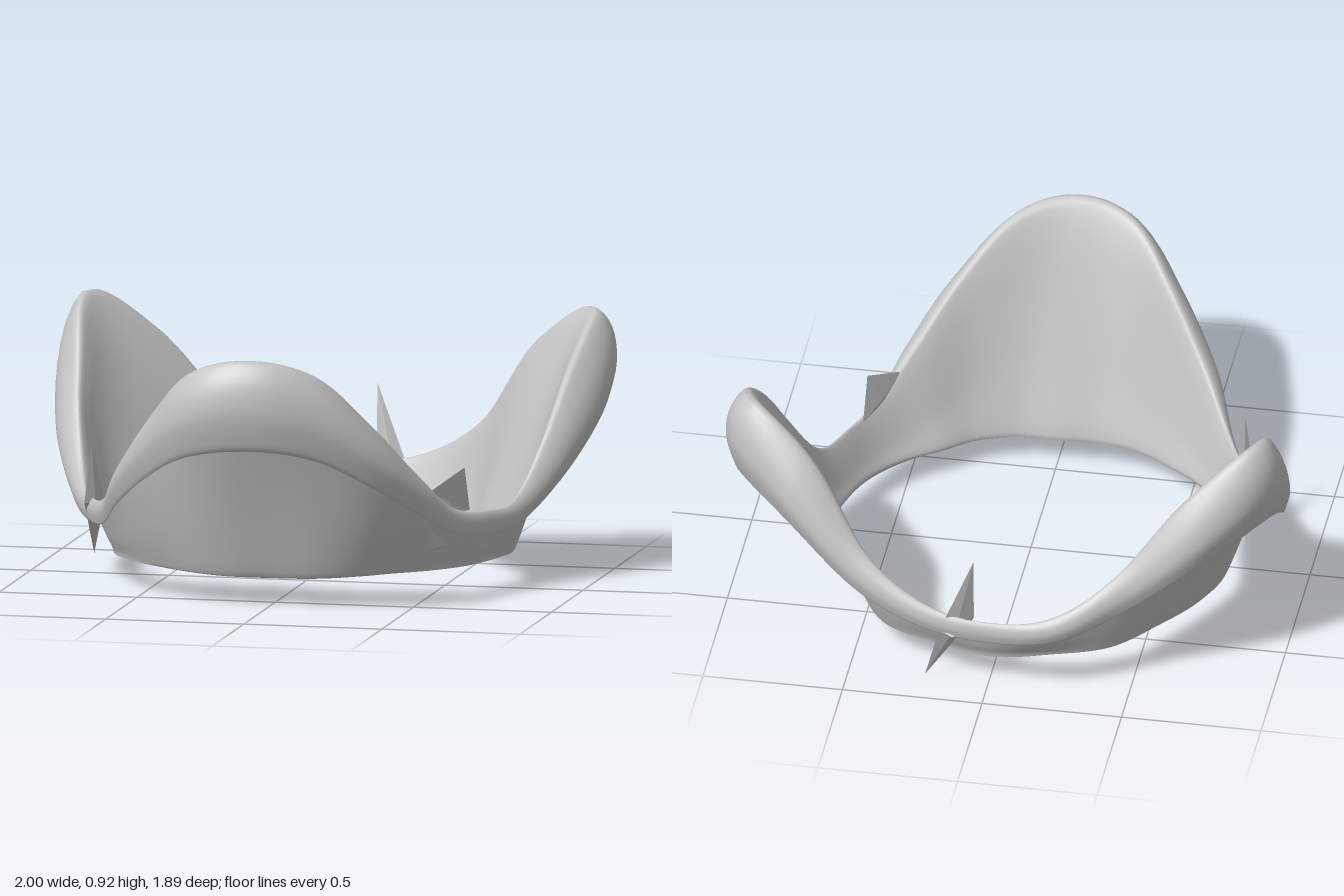
import * as THREE from 'three';
import { mergeVertices } from 'three/addons/utils/BufferGeometryUtils.js';

// Ring stations every 15 degrees, from the front (+z) round through +x
const OUTER = [.94, .89, .84, .775, .72, .725, .79, .965, 1.145, 1.09, .99, .945,
  .935, .965, .97, 1.09, 1.135, 1.005, .85, .77, .76, .81, .865, .945];
const INNER = [.535, .55, .555, .55, .59, .635, .67, .715, .695, .705, .8, .815,
  .845, .82, .82, .76, .74, .74, .685, .675, .64, .6, .585, .56];
const LIFT = [1, .9, .61, .31, .08, .02, .07, .52, 1, .8, .3, .06,
  0, .06, .3, .76, 1, .55, .09, .01, .08, .34, .65, .92];
const BASE = 0.11;

// Periodic Catmull-Rom lookup, t in stations
function sample(a, t) {
  const n = a.length, i = Math.floor(t), f = t - i;
  const [p, q, r, s] = [-1, 0, 1, 2].map(k => a[(i + k + n) % n]);
  return q + 0.5 * f * (r - p + f * (2 * p - 5 * q + 4 * r - s + f * (3 * (q - r) + s - p)));
}

// Sweep a (radius, height) cross-section around the ring
function sweep(section, rows, cols = 192) {
  const pos = [], idx = [];
  for (let i = 0; i <= cols; i++) {
    const t = (i % cols) / cols * 24, a = t * Math.PI / 12;
    const lift = THREE.MathUtils.clamp(sample(LIFT, t), 0, 1);
    const curve = new THREE.SplineCurve(section(sample(OUTER, t), sample(INNER, t), lift));
    for (let j = 0; j <= rows; j++) {
      const p = curve.getPoint(j / rows);
      pos.push(p.x * Math.sin(a), p.y, p.x * Math.cos(a));
      if (i < cols && j < rows) {
        const k = i * (rows + 1) + j, m = k + rows + 1;
        idx.push(k, k + 1, m, m, k + 1, m + 1);
      }
    }
  }
  let g = new THREE.BufferGeometry();
  g.setAttribute('position', new THREE.Float32BufferAttribute(pos, 3));
  g.setIndex(idx);
  g = mergeVertices(g, 1e-5);
  g.computeVertexNormals();
  return g;
}

const V = (x, y) => new THREE.Vector2(x, y);
const lipY = f => 0.22 + 0.39 * f;
const crestY = f => 0.3 + 0.63 * f;
// The crest leans inwards on the flanks of each lobe
const leanOf = f => 0.6 * f * (1 - f);

// Inside wall, over the rolled crest, down to the lip edge
function shellSection(ro, ri, f) {
  const d = ro - ri, l = lipY(f), c = crestY(f), h = c - BASE, lean = leanOf(f);
  return [
    V(ri + 0.05 * d, BASE), V(ri, BASE + 0.02), V(ri + 0.2 * d, BASE + 0.3 * h),
    V(ri + (0.45 - 0.4 * lean) * d, BASE + 0.63 * h),
    V(ri + (0.66 - 0.8 * lean) * d, BASE + 0.88 * h),
    V(ro - (0.18 + lean) * d, c), V(ro - (0.04 + 0.4 * lean) * d, l + 0.8 * (c - l)),
    V(ro, l + 0.45 * (c - l)), V(ro - 0.06 * d, l + 0.1 * (c - l)), V(ro - 0.1 * d, l),
  ];
}

// Lining of the overhanging lip, then the outside wall parallel to the inside one
function wallSection(ro, ri, f) {
  const d = ro - ri, l = lipY(f), c = crestY(f), h = c - BASE, lean = leanOf(f);
  return [
    V(ro - 0.1 * d, l), V(ro - (0.1 + 0.2 * lean) * d, l + 0.4 * (c - l)),
    V(ro - (0.2 + 0.9 * lean) * d, c - 0.12 * (c - l)),
    V(ri + (0.68 - 0.8 * lean) * d, BASE + 0.8 * h),
    V(ri + (0.54 - 0.4 * lean) * d, BASE + 0.63 * h),
    V(ri + 0.29 * d, BASE + 0.3 * h), V(ri + 0.1 * d, BASE + 0.02), V(ri + 0.05 * d, BASE),
  ];
}

// Thin kite-shaped fin: four rim corners with a raised ridge on both faces
function fin(top, sideA, bottom, sideB) {
  const rim = [top, sideA, bottom, sideB].map(p => new THREE.Vector3(...p));
  const mid = rim[1].clone().lerp(rim[3], 0.5);
  const n = rim[0].clone().sub(rim[2]).cross(rim[1].clone().sub(rim[3])).setLength(0.008);
  const pts = [];
  for (const s of [1, -1]) {
    const peak = mid.clone().addScaledVector(n, s);
    rim.forEach((p, i) => {
      const q = rim[(i + 1) % 4];
      pts.push(...(s > 0 ? [p, q, peak] : [q, p, peak]));
    });
  }
  const g = new THREE.BufferGeometry().setFromPoints(pts);
  g.computeVertexNormals();
  return g;
}

export function createModel() {
  const group = new THREE.Group();
  const grey = new THREE.MeshStandardMaterial({ color: 0xc4c4c4, side: THREE.DoubleSide });
  grey.name = 'plain grey';
  const add = (name, geometry) => {
    const mesh = new THREE.Mesh(geometry, grey);
    mesh.name = name;
    group.add(mesh);
  };

  add('rolledShell', sweep(shellSection, 36));
  add('outerWall', sweep(wallSection, 28));

  // Sharp fins in the three dips
  add('rightFin', fin([-.73, .51, .22], [-.76, .29, .2], [-.77, .08, 0], [-.7, .29, .14]));
  add('rightNub', fin([-.68, .335, .16], [-.7, .28, .2], [-.7, .24, .16], [-.66, .29, .12]));
  add('backFin', fin([.04, .57, -.945], [.05, .29, -.88], [.23, .01, -.85], [.17, .24, -.91]));
  add('backSideFin', fin([.05, .31, -.92], [.05, .25, -.88], [.12, .23, -.93], [.22, .27, -.9]));
  add('leftFin', fin([.635, .48, .28], [.54, .41, .43], [.59, .32, .36], [.64, .32, .22]));
  add('leftTab', fin([.55, .29, .48], [.53, .2, .47], [.6, .21, .33], [.59, .23, .38]));
  return group;
}
